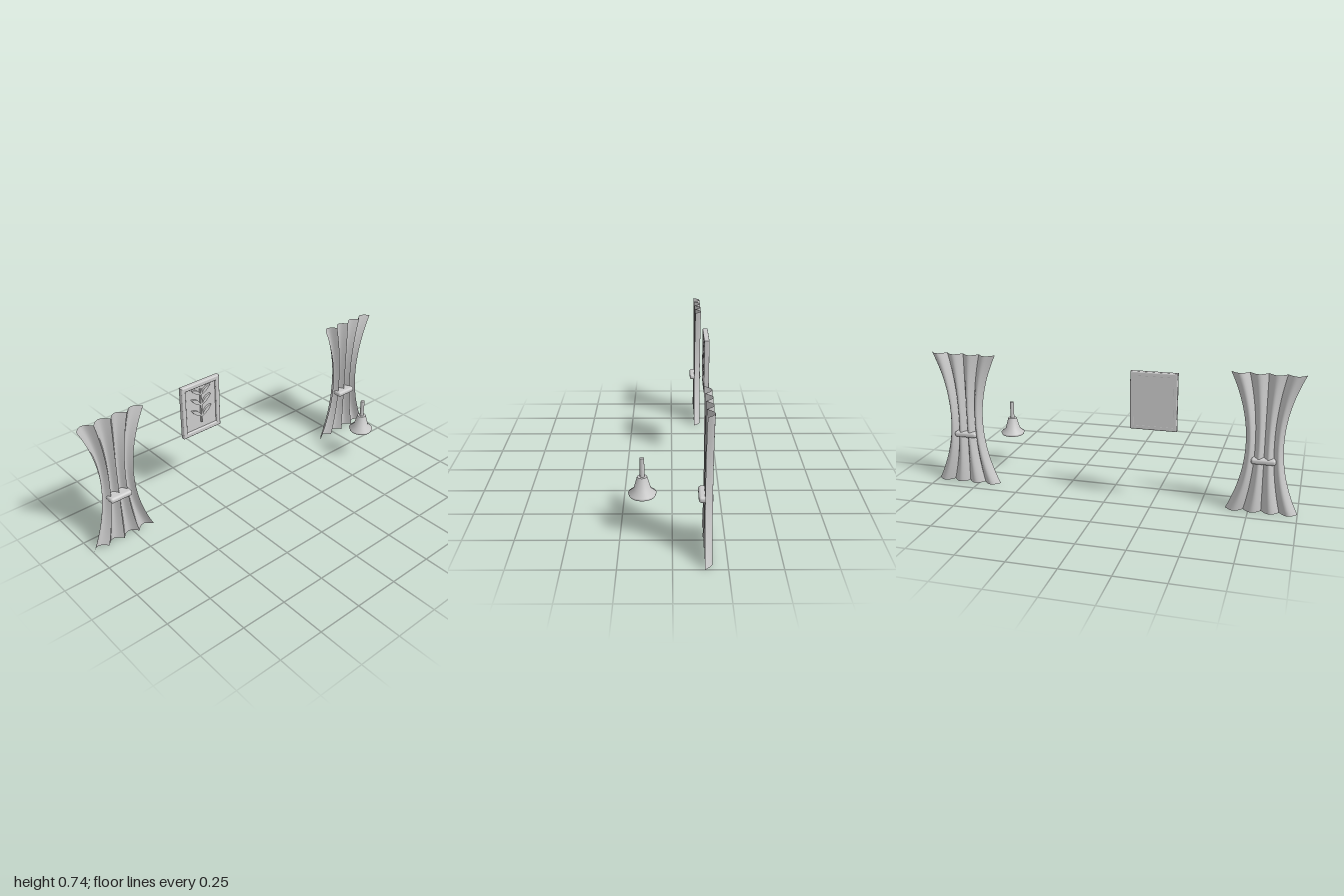
import * as THREE from 'three';
import { RoundedBoxGeometry } from 'three/addons/geometries/RoundedBoxGeometry.js';

const grey = new THREE.MeshStandardMaterial({ color: 0xcccccc, side: THREE.DoubleSide });
grey.name = 'light grey';

function add(parent, name, geometry, x = 0, y = 0, z = 0) {
  const mesh = new THREE.Mesh(geometry, grey);
  mesh.name = name;
  mesh.position.set(x, y, z);
  parent.add(mesh);
  return mesh;
}

// One scalloped fold of cloth; the width narrows to a waist at mid height
function foldGeometry(fold, folds) {
  const height = 0.735;
  const geo = new THREE.PlaneGeometry(1, 1, 10, 24);
  const p = geo.attributes.position;
  for (let i = 0; i < p.count; i++) {
    const u = p.getX(i) + 0.5, v = p.getY(i) + 0.5;
    const half = 0.095 + 0.09 * (2 * v - 1) ** 2;
    const across = ((fold + u) / folds) * 2 - 1;
    p.setXYZ(i, across * half, v * height, -0.145 - 0.035 * Math.sin(Math.PI * u));
  }
  geo.computeVertexNormals();
  return geo;
}

function makeCurtain(name, x) {
  const curtain = new THREE.Group();
  curtain.name = name;
  curtain.position.x = x;
  for (let i = 0; i < 4; i++) add(curtain, 'curtainFold', foldGeometry(i, 4));
  add(curtain, 'tieback', new RoundedBoxGeometry(0.126, 0.031, 0.067, 4, 0.013), 0, 0.281, -0.1515);
  return curtain;
}

function rectangle(Type, w, h) {
  return new Type([[-w, -h], [w, -h], [w, h], [-w, h]].map(([x, y]) => new THREE.Vector2(x, y)));
}

// Curved leaf, side is +1 or -1
function leafGeometry(side, w, h) {
  const s = new THREE.Shape();
  s.moveTo(0, 0);
  s.quadraticCurveTo(side * w * 0.35, h * 1.05, side * w, h);
  s.quadraticCurveTo(side * w * 0.7, h * 0.3, 0, 0);
  return new THREE.ExtrudeGeometry(s, { depth: 0.012, bevelEnabled: false, curveSegments: 10 });
}

function makePicture() {
  const picture = new THREE.Group();
  picture.name = 'framedPicture';
  picture.position.set(-0.252, 0.5625, 0);

  // Bevelled border
  const b = 0.006;
  const border = rectangle(THREE.Shape, 0.1225 - b, 0.1525 - b);
  border.holes.push(rectangle(THREE.Path, 0.098 + b, 0.126 + b));
  add(picture, 'frameBorder', new THREE.ExtrudeGeometry(border, {
    depth: 0.029 - 2 * b, bevelThickness: b, bevelSize: b, bevelSegments: 3,
  }), 0, 0, -0.207 + b);
  add(picture, 'backPanel', new THREE.BoxGeometry(0.212, 0.268, 0.0175), 0, 0, -0.198);

  // Sprig with three pairs of leaves
  add(picture, 'stem', new THREE.BoxGeometry(0.009, 0.2, 0.012), 0, 0.01, -0.184);
  for (const [y, w, h] of [[-0.054, 0.063, 0.05], [0.013, 0.062, 0.05], [0.076, 0.06, 0.042]]) {
    for (const side of [-1, 1]) add(picture, 'leaf', leafGeometry(side, w, h), 0, y, -0.19);
  }
  return picture;
}

// Hand bell: separate lathe sections keep the shoulder and rim crisp
function makeBell() {
  const bell = new THREE.Group();
  bell.name = 'handBell';
  bell.position.set(0.665, 0, 0.142);
  const lathe = (name, points) => add(bell, name,
    new THREE.LatheGeometry(points.map(([r, y]) => new THREE.Vector2(r, y)), 40));
  lathe('bellBase', [[0, 0.196], [0.062, 0.196]]);
  lathe('bellBody', [[0.062, 0.196], [0.0675, 0.21], [0.042, 0.231], [0.024, 0.295]]);
  lathe('bellShoulder', [[0.024, 0.295], [0, 0.295]]);
  add(bell, 'handle', new THREE.CylinderGeometry(0.011, 0.011, 0.095, 24), 0, 0.3425, 0);
  return bell;
}

export function createModel() {
  const model = new THREE.Group();
  model.name = 'roomDecor';
  model.add(makeCurtain('leftCurtain', 0.815), makeCurtain('rightCurtain', -0.815));
  model.add(makePicture(), makeBell());
  return model;
}
